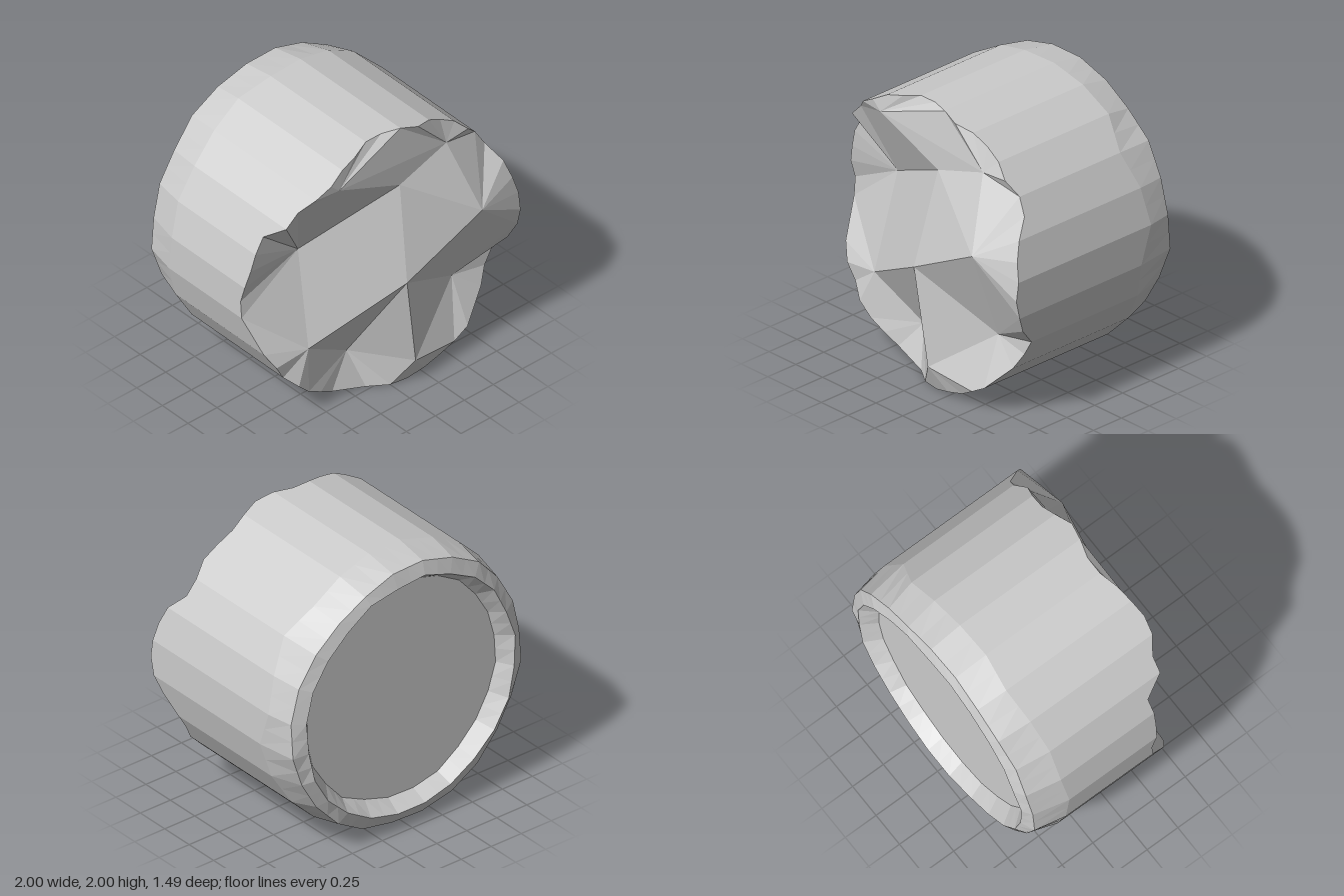
import * as THREE from 'three';

const N = 48;                              // 24 flat sides, each split once
const R = 1 / Math.cos(Math.PI / 24);      // corner radius of the 24-gon

// Depth of the broken edge every 7.5 degrees, counter-clockwise from +x
const RIM = [
  .70, .68, .66, .61, .50, .48, .52, .49, .48, .50, .54, .51,
  .47, .47, .51, .53, .55, .53, .46, .45, .30, .30, .29, .27,
  .23, .24, .31, .38, .43, .42, .47, .46, .45, .43, .45, .47,
  .56, .58, .60, .60, .62, .62, .58, .54, .50, .50, .61, .67,
];

// Peaks and hollows of the broken face
const PEAKS = [
  [-.55, 1.23, .28], [.10, 1.57, .54], [.63, 1.21, .745], [.03, .89, .69], [-.60, .53, .44],
  [-.21, .28, .37], [.13, .19, .66], [.60, .54, .48], [.51, 1.70, .53], [-.43, 1.80, .55],
].map(p => new THREE.Vector3(...p));
const CORE = [
  [9, 0, 1], [0, 4, 3], [0, 3, 1], [1, 3, 2], [1, 2, 8],
  [1, 8, 9], [3, 4, 5], [3, 5, 6], [3, 6, 7], [3, 7, 2],
];
const LOOP = [2, 8, 9, 0, 4, 5, 6, 7];     // outline of the core, counter-clockwise

let seed = 7;
const jitter = a => {
  seed = (seed * 16807) % 2147483647;
  return (seed / 2147483647 * 2 - 1) * a;
};

// 24-sided ring with worn corners; side midpoints stay on the straight edges
function ring(r, z, jr, jz) {
  const pts = [];
  for (let i = 1; i < N; i += 2) {
    const a = i * Math.PI / 24, q = r + jitter(jr);
    pts[i] = new THREE.Vector3(q * Math.cos(a), 1 + q * Math.sin(a), z + jitter(jz));
  }
  for (let i = 0; i < N; i += 2) {
    pts[i] = pts[(i + N - 1) % N].clone().lerp(pts[i + 1], .5);
  }
  return pts;
}

function band(a, b) {
  const tris = [];
  for (let i = 0; i < N; i++) {
    const k = (i + 1) % N;
    tris.push(a[i], b[i], b[k], a[i], b[k], a[k]);
  }
  return tris;
}

function facetMesh(name, tris) {
  const geometry = new THREE.BufferGeometry().setFromPoints(tris);
  geometry.computeVertexNormals();
  const mesh = new THREE.Mesh(geometry, new THREE.MeshStandardMaterial({ color: 0xcccccc, flatShading: true }));
  mesh.name = name;
  return mesh;
}

// Core facets, then a strip stitched by angle between the core and the rim
function brokenFace(rim) {
  const tris = CORE.flatMap(t => t.map(i => PEAKS[i]));
  const loop = LOOP.map(i => PEAKS[i]);
  const angle = j => {
    const p = loop[j % 8];
    const a = THREE.MathUtils.radToDeg(Math.atan2(p.y - 1, p.x));
    return (a + 360) % 360 + (j >= 8 ? 360 : 0);
  };
  let i = 2, j = 0;
  while (i < N + 2 || j < 8) {
    const inner = loop[j % 8], outer = rim[i % N];
    const stepRim = j === 8 || (i < N + 2 && 7.5 * (i + .5) < (angle(j) + angle(j + 1)) / 2);
    if (stepRim) tris.push(inner, outer, rim[++i % N]);
    else tris.push(inner, outer, loop[++j % 8]);
  }
  return tris;
}

export function createModel() {
  const group = new THREE.Group();
  group.name = 'brokenColumnDrum';

  const rim = ring(R, 0, 0, 0);
  rim.forEach((p, i) => { p.z = RIM[i]; });
  const shoulder = ring(R, -.46, 0, .05);
  const edge = ring(.96, -.70, .015, .012);
  const lip = ring(.865, -.738, .015, .006);
  const recess = ring(.795, -.63, .012, 0);

  group.add(facetMesh('brokenFace', brokenFace(rim)));
  group.add(facetMesh('drumSide', band(rim, shoulder)));
  group.add(facetMesh('wornBackRim', [...band(shoulder, edge), ...band(edge, lip), ...band(lip, recess)]));

  // Flat recessed disc at the back
  const centre = new THREE.Vector3(0, 1, -.63);
  group.add(facetMesh('backDisc', recess.flatMap((p, i) => [centre, recess[(i + 1) % N], p])));
  return group;
}
